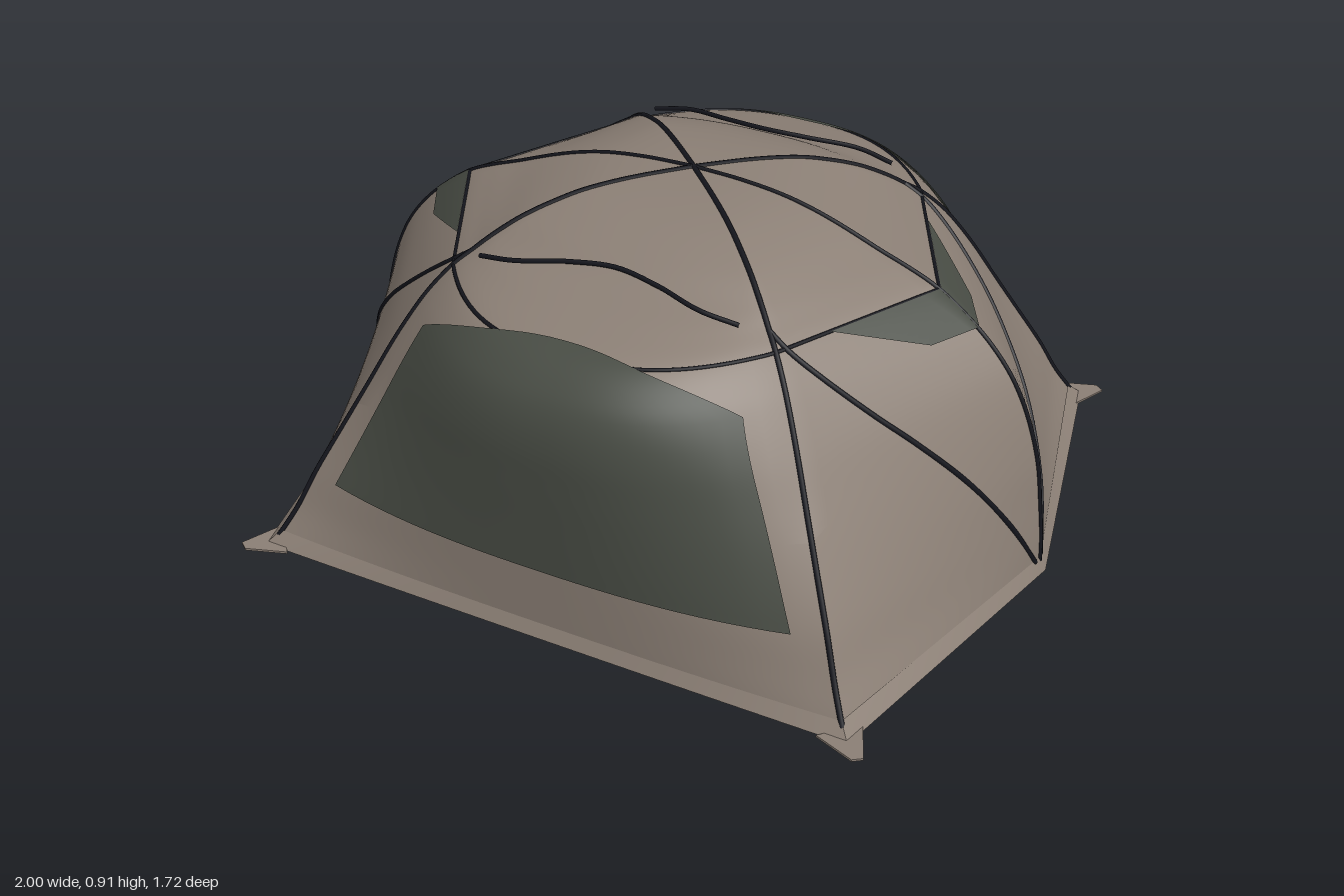
import * as THREE from 'three';
import { toCreasedNormals } from 'three/addons/utils/BufferGeometryUtils.js';

const mat = (name, color, side = THREE.DoubleSide) => {
  const m = new THREE.MeshStandardMaterial({ color, side });
  m.name = name;
  return m;
};

// Tent profile: [height, side ridge x, corner pole x = z, front middle z]
const PROFILE = [
  [0.02, 0.982, 0.79, 0.8], [0.1, 0.978, 0.75, 0.8], [0.2, 0.967, 0.71, 0.8],
  [0.32, 0.95, 0.655, 0.8], [0.44, 0.915, 0.6, 0.8], [0.54, 0.867, 0.555, 0.797],
  [0.62, 0.805, 0.515, 0.78], [0.68, 0.74, 0.48, 0.745], [0.735, 0.665, 0.438, 0.675],
  [0.77, 0.59, 0.4, 0.56], [0.8, 0.51, 0.367, 0.45], [0.84, 0.41, 0.312, 0.37],
  [0.87, 0.32, 0.25, 0.295], [0.89, 0.23, 0.19, 0.215], [0.902, 0.12, 0.105, 0.12],
  [0.906, 0.001, 0.001, 0.001],
];
const heights = new THREE.CatmullRomCurve3(PROFILE.map(p => new THREE.Vector3(p[0], 0, 0)), false, 'catmullrom');
const widths = new THREE.CatmullRomCurve3(PROFILE.map(p => new THREE.Vector3(p[1], p[2], p[3])), false, 'catmullrom');
const ROWS = Array.from({ length: 91 }, (_, i) => {
  const w = widths.getPoint(i / 90);
  return [heights.getPoint(i / 90).x, w.x, w.y, w.z];
});

// Profile row at any height
function rowAt(y) {
  let i = 1;
  while (i < ROWS.length - 1 && ROWS[i][0] < y) i++;
  const a = ROWS[i - 1], b = ROWS[i];
  const t = THREE.MathUtils.clamp((y - a[0]) / (b[0] - a[0]), 0, 1);
  return a.map((v, k) => v + (b[k] - v) * t);
}
// Bulging front panel and straight side panels
const frontZ = (row, x) => row[2] + (row[3] - row[2]) * (1 - Math.min(1, Math.abs(x) / row[2]) ** 2.5);
const sideX = (row, z) => row[1] - (row[1] - row[2]) * Math.min(1, Math.abs(z) / row[2]);

// One closed horizontal cross-section
const Q = 24;
function loopAt(row) {
  const quarter = [];
  for (let i = 0; i <= Q; i++) {
    const s = (2 * i) / Q;
    if (s <= 1) quarter.push([sideX(row, row[2] * s), row[2] * s]);
    else {
      const x = row[2] * (2 - s);
      quarter.push([x, frontZ(row, x)]);
    }
  }
  const half = [...quarter, ...quarter.slice(0, -1).reverse().map(([x, z]) => [-x, z])];
  const all = [...half, ...half.slice(1, -1).reverse().map(([x, z]) => [x, -z])];
  return all.map(([x, z]) => new THREE.Vector3(x, row[0], z));
}

// Surface through rows of points; the order makes the faces look outwards
function loft(rows, closed) {
  const n = rows[0].length, idx = [];
  for (let i = 0; i < rows.length - 1; i++) {
    for (let j = 0; j < (closed ? n : n - 1); j++) {
      const a = i * n + j, b = i * n + ((j + 1) % n);
      idx.push(a, a + n, b, b, a + n, b + n);
    }
  }
  const g = new THREE.BufferGeometry().setFromPoints(rows.flat());
  g.setIndex(idx);
  g.computeVertexNormals();
  return g;
}

export function createModel() {
  const tent = new THREE.Group();
  tent.name = 'tent';
  const fabric = mat('taupe fabric', 0x8b7f75);
  const mesh = mat('dark window mesh', 0x484c44);
  const pole = mat('black pole', 0x14151c, THREE.FrontSide);

  const add = (name, geometry, material) => {
    const m = new THREE.Mesh(geometry, material);
    m.name = name;
    tent.add(m);
    return m;
  };
  const tube = (name, pts, r = 0.007, closed = false) =>
    add(name, new THREE.TubeGeometry(new THREE.CatmullRomCurve3(pts, closed), 140, r, 6, closed), pole);

  // Canopy and flared ground skirt
  add('canopy', toCreasedNormals(loft(ROWS.map(loopAt), true), 0.45), fabric);
  const skirt = [[0, 1, 0.815, 0.818], [0.035, 0.982, 0.785, 0.802]];
  add('groundSkirt', toCreasedNormals(loft(skirt.map(loopAt), true), 0.45), fabric);

  // Poles over the top: side ridge and two diagonals
  const overTop = f => {
    const up = ROWS.filter((_, i) => i % 3 === 0 && i < 90);
    return [...up.map(r => f(r, 1)), new THREE.Vector3(0, 0.906, 0), ...up.reverse().map(r => f(r, -1))];
  };
  tube('ridgePole', overTop((r, s) => new THREE.Vector3(s * r[1], r[0], 0)), 0.006);
  for (const d of [1, -1]) {
    tube('diagonalPole', overTop((r, s) => new THREE.Vector3(s * r[2], r[0], s * d * r[2])));
  }

  // Seam around the roof
  tube('roofSeam', loopAt(rowAt(0.735)), 0.005, true);

  // Curved side poles, from the side feet up to the diagonals
  const sweep = [[0.02, 0.03], [0.11, 0.19], [0.21, 0.36], [0.29, 0.485], [0.345, 0.57], [0.395, 0.67], [0.412, 0.73], [0.405, 0.765]];
  for (const sx of [1, -1]) for (const sz of [1, -1]) {
    tube('sidePole', sweep.map(([z, y]) => new THREE.Vector3(sx * sideX(rowAt(y), z), y, sz * z)));
  }

  // Wavy vent brims on the roof, front and back
  const brim = [[-0.35, 0.79, 0.45], [-0.25, 0.807, 0.458], [-0.12, 0.822, 0.425], [0, 0.829, 0.407],
    [0.12, 0.822, 0.425], [0.25, 0.807, 0.458], [0.35, 0.79, 0.45]];
  for (const s of [1, -1]) tube('ventBrim', brim.map(([x, y, z]) => new THREE.Vector3(x, y, s * z)), 0.006);

  // Large front and back windows, lying just above the fabric
  const windowRows = [];
  for (let i = 0; i <= 40; i++) {
    const y = 0.195 + 0.555 * Math.sin((i / 40) * Math.PI / 2);
    const w = y < 0.645 ? 0.63 - 0.2 * (y - 0.195) / 0.45 : 0.43 * Math.max(0, (0.75 - y) / 0.105) ** 0.42;
    const row = rowAt(y), pts = [];
    for (let j = 0; j <= 24; j++) {
      const x = w * (1 - j / 12);
      pts.push(new THREE.Vector3(x * 1.003, y + 0.003, frontZ(row, x) + 0.005));
    }
    windowRows.push(pts);
  }
  add('frontWindow', loft(windowRows, false), mesh);
  add('backWindow', loft(windowRows, false), mesh).rotation.y = Math.PI;

  // Small side windows under the roof seam
  const ventRows = [];
  for (let i = 0; i <= 8; i++) {
    const y = 0.655 + 0.01 * i, w = 0.13 + 0.17 * i / 8, row = rowAt(y), pts = [];
    for (let j = 0; j <= 12; j++) {
      const z = w * (j / 6 - 1);
      pts.push(new THREE.Vector3(sideX(row, z) + 0.005, y + 0.003, z));
    }
    ventRows.push(pts);
  }
  add('leftWindow', loft(ventRows, false), mesh);
  add('rightWindow', loft(ventRows, false), mesh).rotation.y = Math.PI;

  // Flat peg tabs at the four corners
  const tab = new THREE.Shape([[0.74, 0.825], [0.82, 0.74], [0.868, 0.845], [0.845, 0.862]].map(p => new THREE.Vector2(...p)));
  const tabGeometry = new THREE.ExtrudeGeometry(tab, { depth: 0.006, bevelEnabled: false });
  tabGeometry.rotateX(-Math.PI / 2);
  const cornerTab = (sx, sz) => {
    const pts = tab.getPoints().map(p => new THREE.Vector2(sx * p.x, sz * p.y));
    const g = new THREE.ExtrudeGeometry(new THREE.Shape(pts), { depth: 0.006, bevelEnabled: false });
    add('pegTab', g.rotateX(-Math.PI / 2), fabric);
  };
  for (const sx of [1, -1]) for (const sz of [1, -1]) cornerTab(sx, sz);

  return tent;
}
